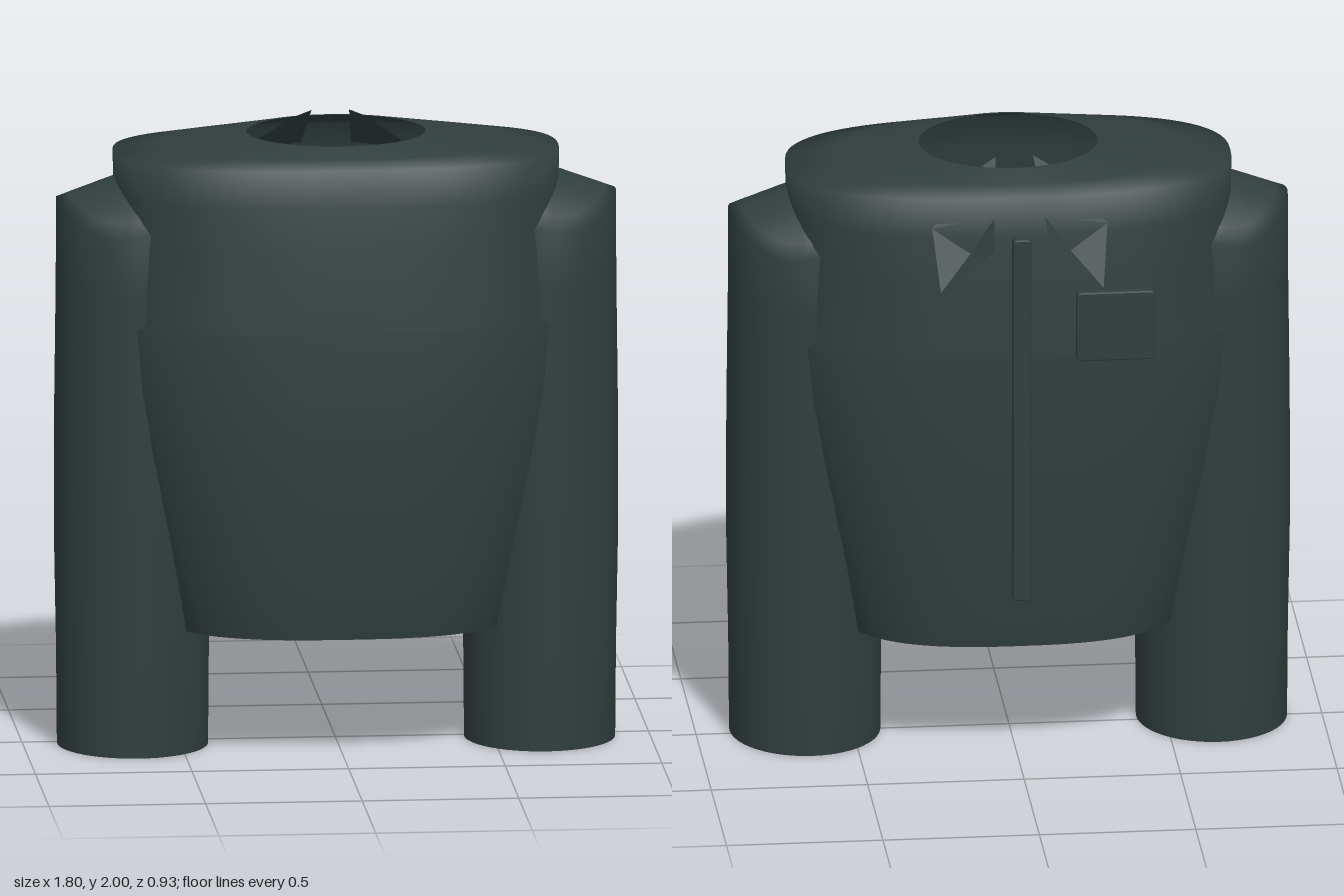
import * as THREE from 'three';

const cloth = new THREE.MeshStandardMaterial({ color: 0x303e3d, side: THREE.DoubleSide });
cloth.name = 'dark slate cloth';

// Smooth skin over closed rings; ringPoint(i, angle) returns [x, y, z]
function loft(rings, sides, ringPoint) {
  const pos = [], index = [];
  for (let i = 0; i < rings; i++) {
    for (let j = 0; j < sides; j++) {
      pos.push(...ringPoint(i, (j / sides) * Math.PI * 2));
      if (i === rings - 1) continue;
      const k = (j + 1) % sides;
      const a = i * sides + j, b = i * sides + k, c = a + sides, d = b + sides;
      index.push(a, c, b, b, c, d);
    }
  }
  const g = new THREE.BufferGeometry();
  g.setAttribute('position', new THREE.Float32BufferAttribute(pos, 3));
  g.setIndex(index);
  g.computeVertexNormals();
  return g;
}

function add(group, name, geometry, x = 0, y = 0, z = 0) {
  const m = new THREE.Mesh(geometry, cloth);
  m.name = name;
  m.position.set(x, y, z);
  group.add(m);
  return m;
}

const power = (v, p) => Math.sign(v) * Math.abs(v) ** p;

// Body sections from hem to neck: height, half width, front z, back z, squareness
const body = [
  [0.41, 0.53, 0.40, -0.35, 2.6], [0.40, 0.54, 0.41, -0.36, 2.6],
  [0.60, 0.59, 0.435, -0.378, 2.6], [0.80, 0.642, 0.452, -0.395, 2.6],
  [1.00, 0.69, 0.463, -0.406, 2.6], [1.20, 0.728, 0.465, -0.41, 2.6],
  [1.39, 0.75, 0.457, -0.406, 2.6], [1.41, 0.72, 0.456, -0.405, 2.6],
  [1.65, 0.715, 0.435, -0.388, 2.6], [1.80, 0.708, 0.412, -0.368, 2.6],
  [1.92, 0.71, 0.39, -0.345, 2.6], [1.945, 0.54, 0.34, -0.29, 2.4],
  [1.975, 0.30, 0.28, -0.23, 2], [1.975, 0.285, 0.27, -0.22, 2],
];

function bodyPoint(i, t) {
  const [y, w, front, back, n] = body[i];
  return [
    w * power(Math.cos(t), 2 / n), y,
    (front + back) / 2 + ((front - back) / 2) * power(Math.sin(t), 2 / n),
  ];
}

// Sleeve tube: height, scale; then a rounded sloping cap that shrinks inward
const tube = [[0.01, 0.97], [0, 0.99], [0.3, 1], [0.7, 1.03], [1.1, 1.025], [1.5, 1.005]];
const cap = [1, 0.85, 0.65, 0.45, 0.25, 0.02];

function sleevePoint(side) {
  return (i, t) => {
    const s = i < tube.length ? tube[i][1] : cap[i - tube.length];
    const c = Math.cos(t) * s, n = Math.sin(t) * s;
    const y = i < tube.length ? tube[i][0] : 1.862 - 0.088 * Math.max(0, c) - 0.17 * n * n;
    // Mirrored sleeve runs its angle the other way so faces stay outward
    return [side * 0.65 + 0.243 * c * side, y, 0.03 + side * side * 0.26 * n];
  };
}

// Folded collar point that dips through the shoulder to the neck opening
function collarGeometry(side) {
  const p = {
    top: [0.08, 1.86, -0.35], fold: [0.09, 1.78, -0.46], tip: [0.26, 1.64, -0.44],
    outer: [0.28, 1.83, -0.36], middle: [0.16, 1.75, -0.385],
    neck: [0.06, 2.0, -0.18], neckOuter: [0.12, 1.97, -0.21],
  };
  const faces = [
    ['top', 'fold', 'middle'], ['fold', 'tip', 'middle'], ['tip', 'outer', 'middle'],
    ['neck', 'top', 'neckOuter'], ['top', 'outer', 'neckOuter'],
  ];
  const pos = [];
  for (const f of faces) {
    const order = side > 0 ? [f[0], f[2], f[1]] : f;
    for (const k of order) pos.push(p[k][0] * side, p[k][1], p[k][2]);
  }
  const g = new THREE.BufferGeometry();
  g.setAttribute('position', new THREE.Float32BufferAttribute(pos, 3));
  g.computeVertexNormals();
  return g;
}

// Thin panel with rounded corners, centred on its depth
function panel(w, h, depth, r) {
  const s = new THREE.Shape();
  const x = w / 2, y = h / 2;
  s.moveTo(-x + r, -y).lineTo(x - r, -y).quadraticCurveTo(x, -y, x, -y + r);
  s.lineTo(x, y - r).quadraticCurveTo(x, y, x - r, y);
  s.lineTo(-x + r, y).quadraticCurveTo(-x, y, -x, y - r);
  s.lineTo(-x, -y + r).quadraticCurveTo(-x, -y, -x + r, -y);
  const bevel = 0.006;
  return new THREE.ExtrudeGeometry(s, {
    depth: depth - bevel * 2, bevelThickness: bevel, bevelSize: bevel,
    bevelOffset: -bevel, bevelSegments: 2, curveSegments: 4,
  }).translate(0, 0, -depth / 2 + bevel);
}

export function createModel() {
  const shirt = new THREE.Group();
  shirt.name = 'shirt';

  add(shirt, 'body', loft(body.length, 72, bodyPoint));

  for (const side of [-1, 1]) {
    const label = side > 0 ? 'left' : 'right';
    const g = loft(tube.length + cap.length, 48, (i, t) => sleevePoint(side)(i, side > 0 ? t : -t));
    add(shirt, label + 'Sleeve', g);
    add(shirt, label + 'Collar', collarGeometry(side));
  }

  // Button strip, buttons and pocket
  add(shirt, 'buttonStrip', panel(0.06, 1.23, 0.04, 0.015), 0, 1.195, -0.417);
  for (let i = 0; i < 5; i++) {
    const button = new THREE.CylinderGeometry(0.014, 0.014, 0.012, 16).rotateX(Math.PI / 2);
    add(shirt, 'button' + (i + 1), button, 0, 0.655 + i * 0.224, -0.455);
  }
  add(shirt, 'pocket', panel(0.25, 0.235, 0.028, 0.015), -0.297, 1.515, -0.446);

  return shirt;
}
